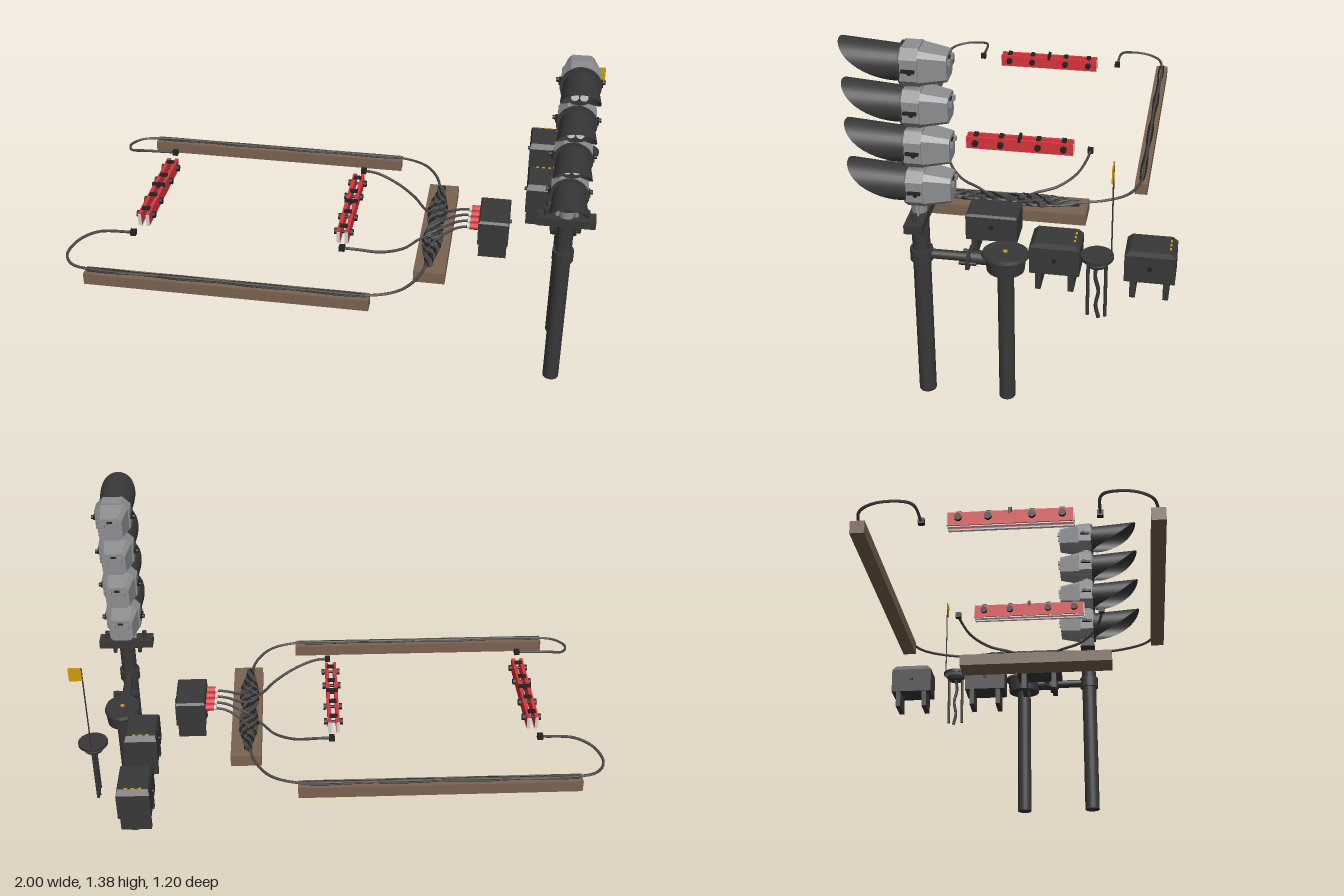
import * as THREE from 'three';
import { ConvexGeometry } from 'three/addons/geometries/ConvexGeometry.js';
import { ParametricGeometry } from 'three/addons/geometries/ParametricGeometry.js';

const mat = (name, color, side = THREE.FrontSide) => {
  const m = new THREE.MeshStandardMaterial({ color, side });
  m.name = name;
  return m;
};

export function createModel() {
  const root = new THREE.Group();
  root.name = 'signalKit';
  const dark = mat('darkMetal', 0x383838, THREE.DoubleSide);
  const black = mat('blackRubber', 0x222222);
  const cableGrey = mat('cableGrey', 0x4a4a4a);
  const grey = mat('housingGrey', 0x8c8e90);
  const light = mat('lampWhite', 0xd0d2d2);
  const wood = mat('woodBrown', 0x7a6250);
  const red = mat('sensorRed', 0xd6343a);
  const yellow = mat('flagYellow', 0xd09c0c);

  const add = (parent, name, geo, material, x = 0, y = 0, z = 0) => {
    const m = new THREE.Mesh(geo, material);
    m.name = name;
    m.position.set(x, y, z);
    parent.add(m);
    return m;
  };
  const group = (name, x = 0, y = 0, z = 0) => {
    const g = new THREE.Group();
    g.name = name;
    g.position.set(x, y, z);
    root.add(g);
    return g;
  };
  const box = (p, name, m, w, h, d, x, y, z) => add(p, name, new THREE.BoxGeometry(w, h, d), m, x, y, z);
  const cyl = (p, name, m, r, h, x, y, z, axis = 'y', r2 = r, n = 20) => {
    const g = new THREE.CylinderGeometry(r, r2, h, n);
    if (axis === 'x') g.rotateZ(Math.PI / 2);
    if (axis === 'z') g.rotateX(Math.PI / 2);
    return add(p, name, g, m, x, y, z);
  };
  const tube = (p, name, m, pts, r = 0.005) => {
    const curve = new THREE.CatmullRomCurve3(pts.map(a => new THREE.Vector3(...a)));
    return add(p, name, new THREE.TubeGeometry(curve, pts.length * 8, r, 6), m);
  };
  // Octagonal section: a square of half size h with corners cut by c
  const octagon = (h, c, z) => {
    const a = h - c, pts = [];
    for (const s of [-1, 1]) for (const t of [-1, 1])
      pts.push(new THREE.Vector3(s * h, t * a, z), new THREE.Vector3(s * a, t * h, z));
    return pts;
  };

  // Main mast with its mounting plate
  const mast = group('signalMast', 0.87, 0, 0.274);
  cyl(mast, 'mastPole', dark, 0.031, 0.755, 0, 0.3775, 0);
  box(mast, 'mountingPlate', dark, 0.215, 0.032, 0.062, 0, 0.738, 0);
  cyl(mast, 'headSpine', grey, 0.027, 0.55, 0, 1.03, 0);
  for (const s of [-1, 1]) {
    cyl(mast, 'plateBolt', dark, 0.009, 0.03, s * 0.075, 0.768, 0);
    cyl(mast, 'mountFoot', grey, 0.008, 0.04, s * 0.035, 0.775, 0);
    cyl(mast, 'plateStrut', dark, 0.008, 0.05, s * 0.05, 0.71, 0);
  }

  // Four lamp heads, each with a cut-away hood
  const hoodGeo = new ParametricGeometry((u, v, t) => {
    const a = u * Math.PI * 2, c = Math.cos(a);
    const len = v * (0.13 + 0.1025 * c - 0.0275 * c * c);
    const r = 0.06 + 0.07 * len;
    t.set(Math.sin(a) * r, c * r, len);
  }, 32, 6);
  const housingGeo = new ConvexGeometry([...octagon(0.067, 0.03, -0.03), ...octagon(0.067, 0.03, 0.029)]);
  const backGeo = new ConvexGeometry([...octagon(0.061, 0.018, -0.03), ...octagon(0.045, 0.012, -0.12)]);
  for (let i = 0; i < 4; i++) {
    const h = group('lampHead', 0.87, 0.86 + i * 0.149, 0.274);
    add(h, 'lampHousing', housingGeo, grey);
    add(h, 'lampBack', backGeo, grey);
    cyl(h, 'lampBezel', dark, 0.072, 0.008, 0, 0, 0.031, 'z', 0.072, 32);
    add(h, 'lampHood', hoodGeo, dark, 0, 0, 0.034);
    // Lens cluster
    cyl(h, 'lensCentre', grey, 0.019, 0.006, 0, 0, 0.038, 'z');
    cyl(h, 'lensCore', light, 0.011, 0.008, 0, 0, 0.039, 'z');
    for (let k = 0; k < 8; k++) {
      const a = k * Math.PI / 4 + Math.PI / 8;
      cyl(h, 'lens', light, 0.0145, 0.006, Math.cos(a) * 0.042, Math.sin(a) * 0.042, 0.038, 'z', 0.0145, 14);
    }
    // Latches, hinges and rear lugs
    for (const s of [-1, 1]) {
      box(h, 'sideLatch', black, 0.012, 0.01, 0.045, s * 0.07, 0, 0);
      cyl(h, 'latchKnob', black, 0.008, 0.012, s * 0.079, 0, -0.008, 'x', 0.008, 10);
      box(h, 'rearLug', grey, 0.01, 0.018, 0.012, s * 0.025, 0.02, -0.124);
    }
    box(h, 'rearSlot', black, 0.02, 0.008, 0.004, 0, 0.03, -0.121);
  }

  // Rear post with drum top and the arm to the mast
  const post = group('rearPost', 0.87, 0, -0.02);
  cyl(post, 'postPole', dark, 0.029, 0.55, 0, 0.275, 0);
  cyl(post, 'postDrum', dark, 0.068, 0.058, 0, 0.576, 0, 'y', 0.062, 28).scale.z = 1.06;
  cyl(post, 'drumLid', dark, 0.066, 0.012, 0, 0.61, 0, 'y', 0.07, 28).scale.z = 1.2;
  cyl(post, 'drumMarker', yellow, 0.008, 0.004, 0, 0.618, 0, 'y', 0.008, 12);
  cyl(post, 'linkArm', dark, 0.017, 0.25, 0, 0.582, 0.15, 'z');
  cyl(post, 'armSleeve', dark, 0.024, 0.06, 0, 0.582, 0.09, 'z');
  box(post, 'armClamp', dark, 0.1, 0.04, 0.014, 0, 0.58, 0.125);
  cyl(post, 'mastCollar', dark, 0.04, 0.045, 0, 0.582, 0.294);
  for (const s of [-1, 1]) cyl(post, 'clampBolt', black, 0.007, 0.06, s * 0.038, 0.58, 0.125, 'z', 0.007, 8);

  // Cabinet with a bevelled lid standing on two boards
  const cabinet = (name, x, z, w, d, top, chamfer) => {
    const g = group(name, x, 0, z), pts = [];
    for (const sx of [-1, 1]) for (const sz of [-1, 1]) pts.push(
      new THREE.Vector3(sx * w / 2, 0.517, sz * d / 2),
      new THREE.Vector3(sx * w / 2, top - chamfer, sz * d / 2),
      new THREE.Vector3(sx * (w / 2 - 0.006), top, sz * (d / 2 - chamfer)));
    add(g, 'cabinetBody', new ConvexGeometry(pts), dark);
    for (const s of [-1, 1]) {
      box(g, 'cabinetLeg', dark, w * 0.92, 0.072, 0.02, 0, 0.485, s * (d / 2 - 0.03));
      cyl(g, 'cabinetKnob', black, 0.008, 0.01, s * (w / 2 + 0.003), 0.575, 0, 'x', 0.008, 10);
    }
    return g;
  };
  for (const z of [-0.512, -0.183]) {
    const c = cabinet('cabinet', 0.778, z, 0.122, 0.175, 0.638, 0.018);
    for (let i = -1; i <= 1; i++)
      box(c, 'cabinetLabel', yellow, 0.012, 0.003, 0.007, i * 0.025, 0.638, -0.067);
  }
  const ctrl = cabinet('controller', 0.603, 0.07, 0.118, 0.188, 0.62, 0.008);

  // Red plugs with their leads onto the cross plank
  const leads = group('controllerLeads');
  [0.01, 0.05, 0.092, 0.134].forEach((z, i) => {
    cyl(ctrl, 'redPlug', red, 0.014, 0.035, -0.075, 0.58, z - 0.07, 'x', 0.014, 12);
    cyl(ctrl, 'plugCollar', light, 0.01, 0.014, -0.096, 0.578, z - 0.07, 'x', 0.01, 12);
    const s = (i - 1.5) / 1.5;
    tube(leads, 'lead', cableGrey, [[0.505, 0.577, z], [0.46, 0.567, z + s * 0.005],
      [0.41, 0.542, 0.072 + s * 0.085], [0.37, 0.53, 0.072 + s * 0.14], [0.36, 0.527, 0.072 + s * 0.2]]);
  });

  // Planks
  const planks = group('planks');
  for (const z of [-0.427, 0.571]) box(planks, 'longPlank', wood, 1.08, 0.046, 0.05, -0.36, 0.497, z);
  box(planks, 'crossPlank', wood, 0.12, 0.046, 0.63, 0.38, 0.497, 0.072);

  // Mirrored cables: s turns each path about the centre line of the loop
  const cables = group('cables');
  const mid = 0.072;
  for (const s of [-1, 1]) {
    const path = pts => pts.map(([x, y, d]) => [x, y, mid + s * d]);
    tube(cables, 'outerCable', cableGrey, path([
      [0.36, 0.528, 0.2], [0.362, 0.528, 0.29], [0.335, 0.528, 0.38], [0.28, 0.527, 0.455], [0.18, 0.526, 0.496],
      [0, 0.526, 0.5], [-0.45, 0.526, 0.498], [-0.88, 0.526, 0.499], [-0.96, 0.527, 0.477], [-0.995, 0.532, 0.42],
      [-0.97, 0.548, 0.345], [-0.9, 0.57, 0.312], [-0.77, 0.577, 0.306]]), 0.0055);
    tube(cables, 'innerCable', cableGrey, path([
      [0.04, 0.577, 0.284], [0.1, 0.573, 0.28], [0.19, 0.55, 0.25], [0.27, 0.532, 0.185],
      [0.32, 0.528, 0.11], [0.365, 0.528, 0.07], [0.385, 0.528, 0.15]]), 0.0055);
    for (const x of [-0.765, 0.045]) {
      const d = x < 0 ? 0.306 : 0.284;
      box(cables, 'cablePlug', black, 0.022, 0.02, 0.022, x, 0.577, mid + s * d);
    }
    // Slack strands lying along the long planks
    for (const k of [-1, 1]) {
      const pts = [];
      for (let i = 0; i <= 12; i++)
        pts.push([-0.89 + i * 0.088, 0.525, mid + s * 0.499 + k * (0.007 + 0.003 * Math.sin(i * 1.9))]);
      tube(cables, 'plankStrand', black, pts, 0.004);
    }
  }
  // Coiled slack on the cross plank
  for (let k = 0; k < 7; k++) {
    const pts = [];
    for (let i = 0; i <= 16; i++) {
      const t = i / 8 - 1;
      const spread = 0.012 + 0.024 * Math.sin(Math.PI * Math.min(1, Math.abs(t) + 0.15));
      pts.push([0.372 + spread * Math.sin(i * 1.3 + k * 0.9), 0.527 + 0.004 * Math.cos(i * 1.7 + k), mid + t * 0.285]);
    }
    tube(cables, 'coiledSlack', k % 2 ? black : cableGrey, pts, 0.006);
  }

  // Sensor rails: paired red plates held by cross bolts
  for (const x of [-0.75, 0.035]) {
    const g = group('sensorRail', x, 0, mid);
    for (const s of [-1, 1]) {
      box(g, 'railPlate', red, 0.014, 0.05, 0.43, s * 0.016, 0.578, 0);
      box(g, 'railEdge', light, 0.012, 0.004, 0.43, s * 0.013, 0.551, 0);
      for (const e of [-1, 1]) box(g, 'railEnd', light, 0.013, 0.046, 0.004, s * 0.016, 0.578, e * 0.216);
    }
    for (const z of [-0.178, -0.075, 0.075, 0.178]) {
      cyl(g, 'railBolt', black, 0.006, 0.066, 0, 0.58, z, 'x', 0.006, 10);
      for (const s of [-1, 1]) cyl(g, 'railKnob', black, 0.013, 0.012, s * 0.031, 0.58, z, 'x', 0.013, 12);
      box(g, 'railClip', black, 0.03, 0.008, 0.018, 0, 0.607, z);
    }
    box(g, 'railCentre', black, 0.05, 0.02, 0.012, 0, 0.604, 0);
  }

  // Round stand with legs, hanging cable, rod and flag
  const stand = group('flagStand', 0.942, 0, -0.343);
  cyl(stand, 'standTop', dark, 0.055, 0.012, 0, 0.677, 0, 'y', 0.055, 28);
  cyl(stand, 'standRing', grey, 0.052, 0.012, 0, 0.665, 0, 'y', 0.044, 28);
  cyl(stand, 'standCollar', dark, 0.04, 0.016, 0, 0.652, 0, 'y', 0.034, 24);
  for (const s of [-1, 1]) cyl(stand, 'standLeg', dark, 0.006, 0.215, 0, 0.547, s * 0.03, 'y', 0.006, 10);
  tube(stand, 'hangingCable', dark, [[0, 0.65, 0], [0.004, 0.6, 0.005], [0, 0.54, -0.006], [0, 0.48, 0.002], [0, 0.432, -0.008]], 0.007);
  cyl(stand, 'flagRod', dark, 0.0025, 0.365, 0, 0.857, -0.047, 'y', 0.0025, 8);
  box(stand, 'flag', yellow, 0.05, 0.054, 0.004, 0.023, 1.012, -0.047);

  return root;
}
